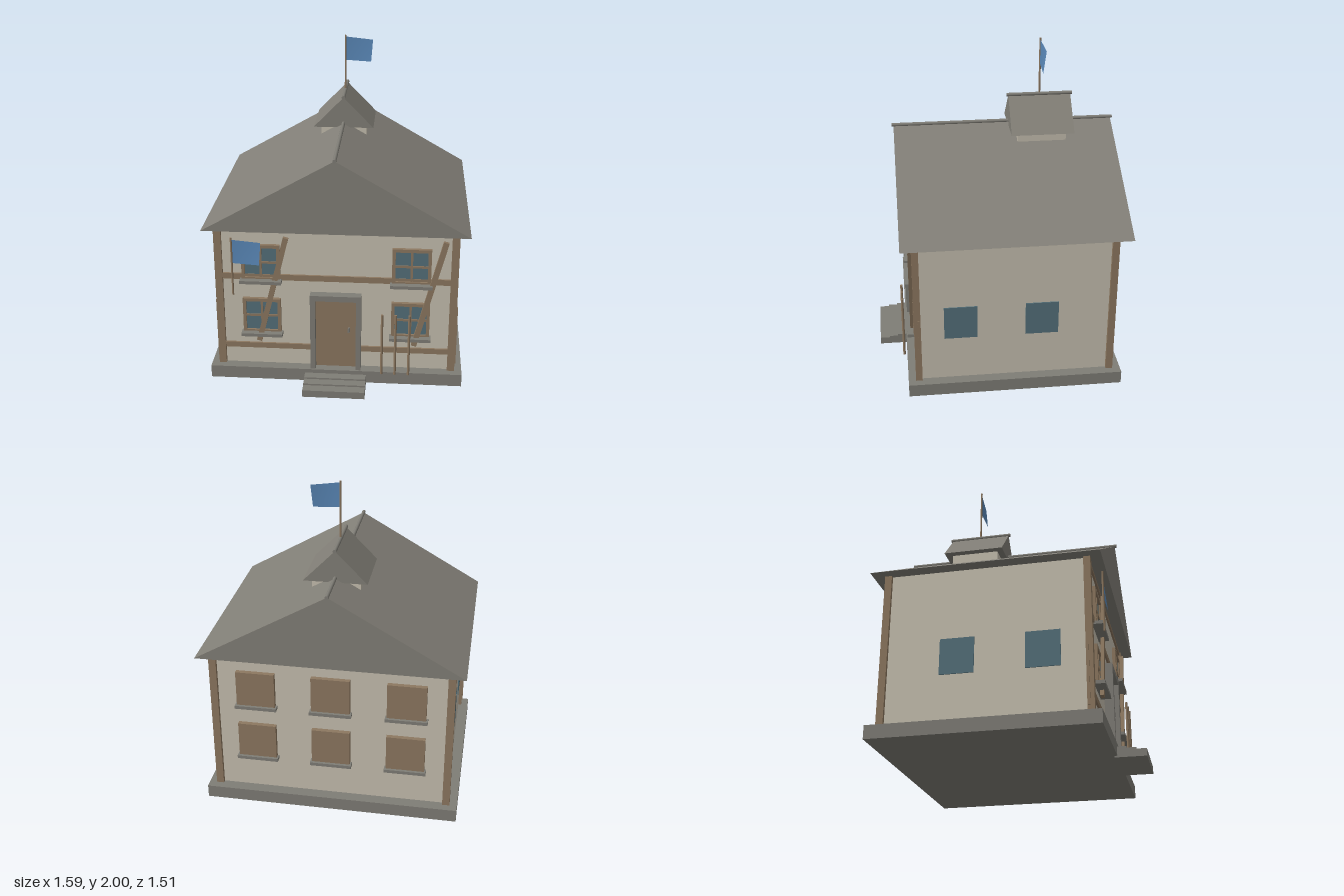
import * as THREE from 'three';

export function createModel() {
  const model = new THREE.Group();
  model.name = 'house';

  const mat = (name, color, side = THREE.FrontSide) => {
    const m = new THREE.MeshStandardMaterial({ color, side });
    m.name = name;
    return m;
  };
  const plaster = mat('plaster', 0xc6bfaf);
  const stone = mat('stone', 0x7f7d76);
  const roofGrey = mat('roof grey', 0x827f77);
  const wood = mat('wood', 0x8d7860);
  const glass = mat('glass', 0x54707a);
  const flagBlue = mat('flag blue', 0x5a88b8, THREE.DoubleSide);

  const add = (name, geometry, material, parent = model) => {
    const mesh = new THREE.Mesh(geometry, material);
    mesh.name = name;
    parent.add(mesh);
    return mesh;
  };
  // Box given by its extents on each axis
  const box = (name, material, [x0, x1], [y0, y1], [z0, z1], parent = model) => {
    const mesh = add(name, new THREE.BoxGeometry(x1 - x0, y1 - y0, z1 - z0), material, parent);
    mesh.position.set((x0 + x1) / 2, (y0 + y1) / 2, (z0 + z1) / 2);
    return mesh;
  };
  const pole = (name, material, x, y0, y1, z, r) => {
    const mesh = add(name, new THREE.CylinderGeometry(r, r, y1 - y0, 10), material);
    mesh.position.set(x, (y0 + y1) / 2, z);
    return mesh;
  };
  // Closed gable prism with a round ridge cap
  const gableRoof = (name, halfWidth, y0, y1, z0, z1, capY) => {
    const shape = new THREE.Shape([
      new THREE.Vector2(-halfWidth, y0),
      new THREE.Vector2(halfWidth, y0),
      new THREE.Vector2(0, y1),
    ]);
    const prism = new THREE.ExtrudeGeometry(shape, { depth: z1 - z0, bevelEnabled: false });
    add(name, prism.translate(0, 0, z0), roofGrey);
    const cap = add(name + 'Ridge', new THREE.CylinderGeometry(0.011, 0.011, z1 - z0 + 0.022, 10), stone);
    cap.rotation.x = Math.PI / 2;
    cap.position.set(0, capY, (z0 + z1) / 2);
  };
  // Slightly twisted cloth, attached along its left edge
  const flag = (name, x, y, z, w, h) => {
    const g = new THREE.PlaneGeometry(w, h, 6, 3).translate(w / 2, -h / 2, 0);
    const p = g.attributes.position;
    for (let i = 0; i < p.count; i++) {
      const u = p.getX(i) / w, v = -p.getY(i) / h;
      p.setXYZ(i, p.getX(i) - 0.01 * u * v, p.getY(i) - 0.02 * u * (1 - 0.6 * v), 0.016 * u * (v - 0.7));
    }
    g.computeVertexNormals();
    add(name, g, flagBlue).position.set(x, y, z);
  };

  // Foundation and steps
  box('foundation', stone, [-0.78, 0.78], [0.01, 0.09], [-0.725, 0.585]);
  [[0.755, 0.045], [0.695, 0.055], [0.64, 0.065]].forEach(([z, y], i) =>
    box('step' + (i + 1), stone, [-0.19, 0.19], [0, y], [0.57, z]));

  // Walls and main roof
  box('walls', plaster, [-0.715, 0.715], [0.09, 1.02], [-0.655, 0.52]);
  gableRoof('mainRoof', 0.795, 1.02, 1.475, -0.748, 0.605, 1.478);

  // Timber frame
  for (const s of [-1, 1]) {
    const xs = [s * 0.7125 - 0.0225, s * 0.7125 + 0.0225];
    box('cornerPost', wood, xs, [0.09, 1.02], [0.5, 0.54]);
    box('cornerPost', wood, xs, [0.09, 1.02], [-0.677, -0.635]);
    box('postStrip', wood, [s * 0.737 - 0.005, s * 0.737 + 0.005], [0.13, 0.52], [0.505, 0.517]);
  }
  [[0.2, 0.235], [0.675, 0.712], [1.0, 1.02]].forEach(y =>
    box('frontBeam', wood, [-0.69, 0.69], y, [0.51, 0.532]));

  // Slanting braces
  for (const x of [-0.385, 0.567]) {
    const brace = add('brace', new THREE.BoxGeometry(0.033, 0.72, 0.022), wood);
    brace.position.set(x, 0.617, 0.549);
    brace.rotation.z = -Math.atan2(0.177, 0.7);
  }

  // Windows with frame, sill, and either glazing bars or a shutter
  const windowUnit = (x, y, shuttered) => {
    const g = new THREE.Group();
    g.name = shuttered ? 'shutteredWindow' : 'frontWindow';
    const w = 0.117, h = 0.117, t = 0.02;
    if (shuttered) {
      box('shutter', wood, [-w, w], [-h, h], [-0.01, 0.028], g);
    } else {
      box('pane', glass, [-w + t, w - t], [-h + t, h - t], [-0.005, 0.009], g);
      for (const s of [-1, 1]) {
        const c = s * (w - t / 2);
        box('frameSide', wood, [c - t / 2, c + t / 2], [-h, h], [-0.01, 0.022], g);
        box('frameRail', wood, [-w + t, w - t], [c - t / 2, c + t / 2], [-0.01, 0.022], g);
      }
      box('barUpright', wood, [-0.007, 0.007], [-h + t, h - t], [0, 0.016], g);
      box('barCross', wood, [-w + t, w - t], [-0.007, 0.007], [0, 0.015], g);
    }
    box('sill', stone, [-0.127, 0.127], [-h - 0.01, -h + 0.01], [-0.01, shuttered ? 0.045 : 0.06], g);
    g.position.set(x, y, shuttered ? -0.655 : 0.52);
    if (shuttered) g.rotation.y = Math.PI;
    model.add(g);
  };
  for (const y of [0.432, 0.792]) {
    for (const x of [-0.455, 0.455]) windowUnit(x, y, false);
    for (const x of [-0.455, 0, 0.455]) windowUnit(x, y, true);
  }
  for (const s of [-1, 1])
    for (const z of [-0.23, 0.26])
      box('sideWindow', glass, [s * 0.717 - 0.004, s * 0.717 + 0.004], [0.375, 0.59], [z - 0.1, z + 0.1]);

  // Door with stone surround
  for (const s of [-1, 1])
    box('doorJamb', stone, [s * 0.14 - 0.0155, s * 0.14 + 0.0155], [0.09, 0.598], [0.51, 0.575]);
  box('doorLintel', stone, [-0.125, 0.125], [0.562, 0.598], [0.51, 0.575]);
  box('doorFrame', wood, [-0.125, 0.125], [0.09, 0.562], [0.51, 0.532]);
  box('door', wood, [-0.115, 0.115], [0.095, 0.553], [0.52, 0.54]);
  box('doorHandle', stone, [0.074, 0.086], [0.34, 0.37], [0.535, 0.553]);

  // Upright staves beside the door
  for (const x of [0.285, 0.367, 0.45]) pole('stave', wood, x, 0.09, 0.5, 0.603, 0.008);

  // Ridge turret
  box('turretWalls', plaster, [-0.145, 0.145], [1.3, 1.45], [-0.445, -0.145]);
  gableRoof('turretRoof', 0.19, 1.45, 1.645, -0.49, -0.105, 1.647);

  // Flags
  pole('turretFlagpole', wood, 0, 1.64, 2, -0.297, 0.006);
  flag('turretFlag', 0.003, 1.99, -0.297, 0.17, 0.15);
  pole('frontFlagpole', wood, -0.618, 0.6, 0.975, 0.592, 0.006);
  flag('frontFlag', -0.612, 0.962, 0.592, 0.168, 0.152);

  return model;
}
